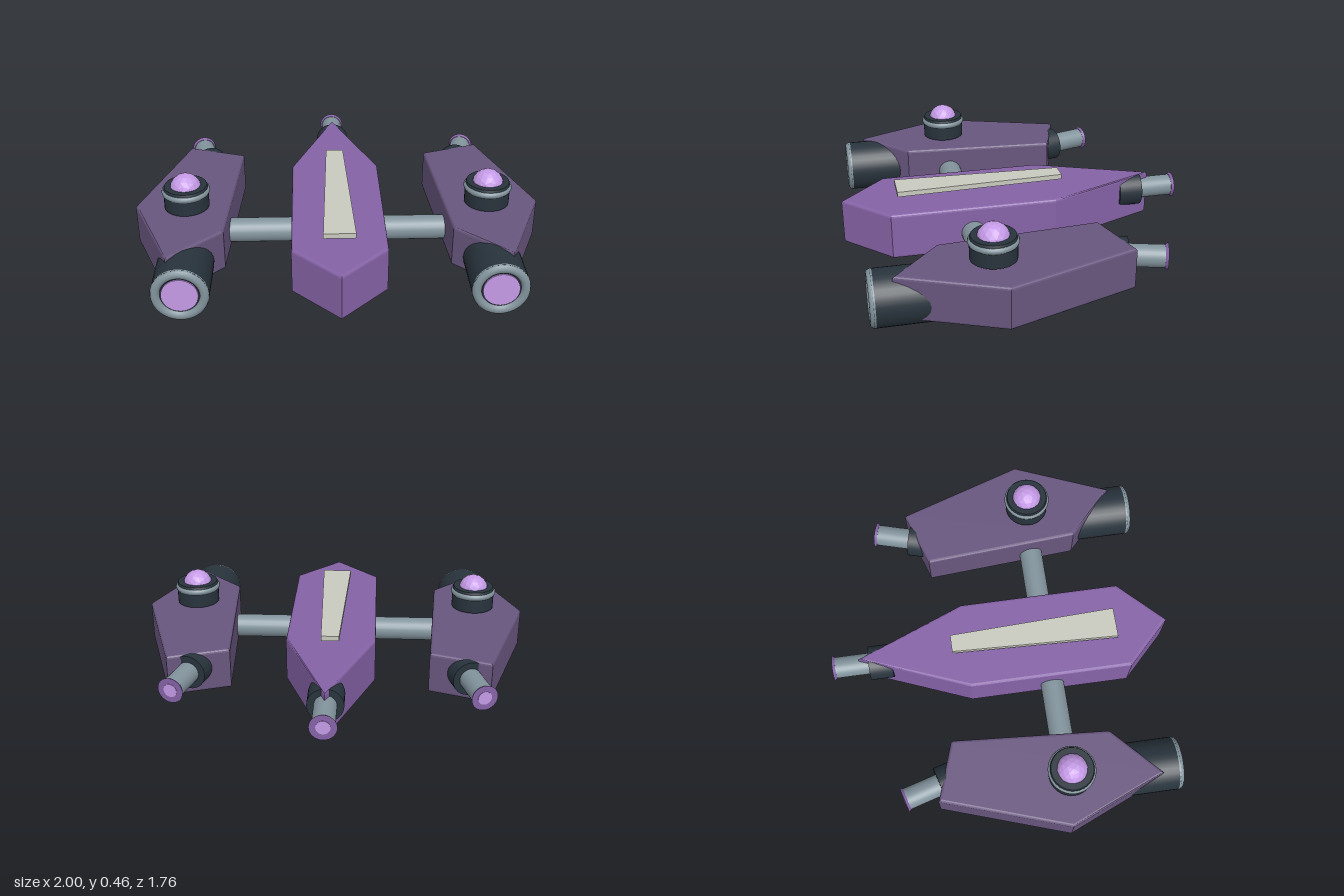
import * as THREE from 'three';

const mat = (color, extra = {}) => new THREE.MeshStandardMaterial({ color, ...extra });
const hullMat = mat(0x8562a6);
const podMat = mat(0x68567e);
const darkMat = mat(0x28333c);
const steelMat = mat(0x82939c);
const glowMat = mat(0xc49ae6);
const gemMat = mat(0xc49ae6, { flatShading: true });
const plateMat = mat(0xc8cabe);

function add(parent, name, geometry, material, x = 0, y = 0, z = 0) {
  const mesh = new THREE.Mesh(geometry, material);
  mesh.name = name;
  mesh.position.set(x, y, z);
  parent.add(mesh);
  return mesh;
}

// Upright slab with softened edges from an (x, z) outline
function slab(points, y0, y1, bevel) {
  const shape = new THREE.Shape(points.map(([x, z]) => new THREE.Vector2(x, -z)));
  const geometry = new THREE.ExtrudeGeometry(shape, {
    depth: y1 - y0 - 2 * bevel, bevelEnabled: bevel > 0,
    bevelSize: bevel, bevelThickness: bevel, bevelOffset: -bevel, bevelSegments: 3,
  });
  return geometry.rotateX(-Math.PI / 2).translate(0, y0 + bevel, 0);
}

// Cylinder along z between z0 and z1
const tubeZ = (r, z0, z1, sides = 32) =>
  new THREE.CylinderGeometry(r, r, z1 - z0, sides).rotateX(Math.PI / 2).translate(0, 0, (z0 + z1) / 2);

// Rear exhaust pointing to -z, origin at the outer face of its collar
function makeExhaust(name) {
  const g = new THREE.Group();
  g.name = name;
  add(g, 'collar', tubeZ(0.088, 0, 0.12), darkMat);
  add(g, 'pipe', tubeZ(0.055, -0.185, 0), steelMat);
  add(g, 'lip', new THREE.CylinderGeometry(0.057, 0.065, 0.014, 32).rotateX(Math.PI / 2), hullMat, 0, 0, -0.182);
  add(g, 'glow', tubeZ(0.034, -0.191, -0.18), glowMat);
  return g;
}

// Round turret with a faceted gem
function makeTurret() {
  const g = new THREE.Group();
  g.name = 'turret';
  add(g, 'base', new THREE.CylinderGeometry(0.11, 0.11, 0.09, 32), darkMat, 0, 0.335, 0);
  add(g, 'ring', new THREE.TorusGeometry(0.1, 0.018, 10, 40).rotateX(Math.PI / 2), steelMat, 0, 0.376, 0);
  add(g, 'cap', new THREE.CylinderGeometry(0.104, 0.112, 0.024, 32), darkMat, 0, 0.392, 0);
  add(g, 'gem', new THREE.IcosahedronGeometry(0.077, 2), gemMat, 0, 0.386, 0);
  return g;
}

// Front engine barrel with ring and lens
function makeBarrel() {
  const g = new THREE.Group();
  g.name = 'frontBarrel';
  add(g, 'barrel', tubeZ(0.134, 0.42, 0.795), darkMat);
  add(g, 'ring', new THREE.TorusGeometry(0.112, 0.023, 10, 48), steelMat, 0, 0, 0.79);
  add(g, 'lens', tubeZ(0.085, 0.78, 0.802), glowMat);
  return g;
}

export function createModel() {
  const model = new THREE.Group();

  // Central hull
  const hull = [[0, -0.74], [-0.226, -0.18], [-0.226, 0.65], [0, 0.875], [0.226, 0.65], [0.226, -0.18]];
  add(model, 'hull', slab(hull, 0.04, 0.278, 0.014), hullMat);
  const plate = [[-0.045, -0.255], [-0.077, 0.6], [0.077, 0.6], [0.045, -0.255]];
  add(model, 'topPlate', slab(plate, 0.304, 0.33, 0), plateMat);
  const rear = makeExhaust('rearExhaust');
  rear.position.set(0, 0.19, -0.69);
  model.add(rear);

  // Crossbar joining the pods
  add(model, 'crossbar', new THREE.CylinderGeometry(0.061, 0.061, 1.3, 24).rotateZ(Math.PI / 2),
    steelMat, 0, 0.142, 0.243);

  // Side pods
  const outline = [[0.492, -0.317], [0.788, -0.415], [1, 0.22], [0.797, 0.705], [0.549, 0.475]];
  for (const side of [1, -1]) {
    const pod = new THREE.Group();
    pod.name = side > 0 ? 'leftPod' : 'rightPod';
    add(pod, 'podBody', slab(outline.map(([x, z]) => [side * x, z]), 0.064, 0.278, 0.014), podMat);

    const barrel = makeBarrel();
    barrel.position.set(side * 0.73, 0.14, 0);
    const turret = makeTurret();
    turret.position.set(side * 0.742, 0, 0.245);
    const exhaust = makeExhaust('podExhaust');
    exhaust.position.set(side * 0.687, 0.19, -0.403);
    exhaust.rotation.y = -side * 0.28;
    pod.add(barrel, turret, exhaust);
    model.add(pod);
  }
  return model;
}
